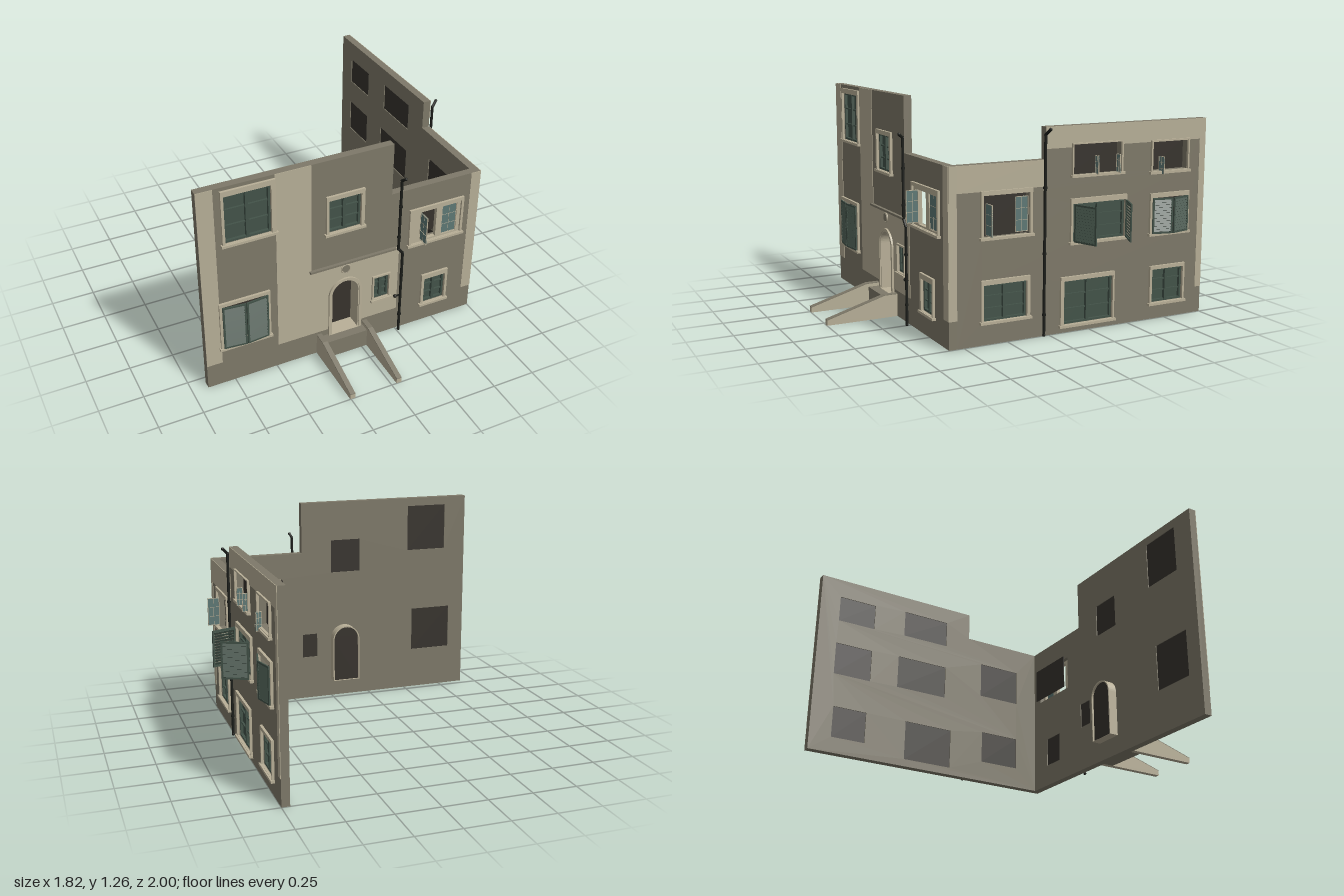
import * as THREE from 'three';

const mat = (name, color) => Object.assign(new THREE.MeshStandardMaterial({ color }), { name });
const plaster = mat('plasterGrey', 0x7e7969);
const stucco = mat('stuccoBeige', 0xb7af97);
const trim = mat('trimBeige', 0xb9b098);
const green = mat('woodGreen', 0x435349);
const dark = mat('interiorDark', 0x37332d);
const glass = mat('glassBlue', 0x5e7875);
const iron = mat('pipeBlack', 0x1c1e1a);

const T = 0.045; // wall thickness

function add(parent, name, geo, m, x = 0, y = 0, z = 0) {
  const mesh = new THREE.Mesh(geo, m);
  mesh.name = name;
  mesh.position.set(x, y, z);
  parent.add(mesh);
  return mesh;
}
// box given by its limits
const block = (p, name, m, x0, x1, y0, y1, z0, z1) =>
  add(p, name, new THREE.BoxGeometry(x1 - x0, y1 - y0, z1 - z0), m, (x0 + x1) / 2, (y0 + y1) / 2, (z0 + z1) / 2);

const poly = (pts) => new THREE.Shape(pts.map(([x, y]) => new THREE.Vector2(x, y)));
const rect = (x0, x1, y0, y1) => poly([[x0, y0], [x1, y0], [x1, y1], [x0, y1]]);
function arch(cx, r, y0, spring) {
  const s = new THREE.Shape();
  s.moveTo(cx - r, y0);
  s.lineTo(cx + r, y0);
  s.lineTo(cx + r, spring);
  s.absarc(cx, spring, r, 0, Math.PI, false);
  s.lineTo(cx - r, y0);
  return s;
}
function slab(p, name, m, shape, holes, z0, z1) {
  shape.holes.push(...holes);
  return add(p, name, new THREE.ExtrudeGeometry(shape, { depth: z1 - z0, bevelEnabled: false, curveSegments: 12 }), m, 0, 0, z0);
}

// casement or louvred leaf swinging out from its hinge; dir is the side it extends to
function leaf(p, kind, hinge, w, y0, y1, width, dir, degrees) {
  const g = new THREE.Group();
  g.name = kind === 'louvre' ? 'louvredShutter' : 'glazedLeaf';
  g.position.set(hinge, 0, w);
  g.rotation.y = -dir * THREE.MathUtils.degToRad(degrees);
  p.add(g);
  const a = Math.min(0, dir * width), b = Math.max(0, dir * width);
  if (kind === 'louvre') {
    const f = 0.01;
    slab(g, 'shutterFrame', green, rect(a, b, y0, y1), [rect(a + f, b - f, y0 + f, y1 - f)], -0.004, 0.004);
    const n = 12, step = (y1 - y0 - 2 * f) / n;
    for (let i = 0; i < n; i++) {
      const slat = add(g, 'slat', new THREE.BoxGeometry(b - a - 2 * f, step * 0.95, 0.003), green, (a + b) / 2, y0 + f + step * (i + 0.5), 0);
      slat.rotation.x = -0.5;
    }
  } else {
    block(g, 'pane', glass, a, b, y0, y1, -0.001, 0.001);
    const f = 0.003;
    slab(g, 'leafFrame', trim, rect(a, b, y0, y1), [rect(a + f, b - f, y0 + f, y1 - f)], -0.003, 0.003);
    for (const t of [1 / 3, 2 / 3]) {
      const y = y0 + (y1 - y0) * t;
      block(g, 'glazingBar', trim, a, b, y - 0.001, y + 0.001, -0.002, 0.002);
    }
    block(g, 'glazingBar', trim, (a + b) / 2 - 0.001, (a + b) / 2 + 0.001, y0, y1, -0.002, 0.002);
  }
}

// window: o = opening limits, f = surround limits, kind = closed | open | shuttered
function addWindow(p, { o, f, kind, back = -0.04 }) {
  const g = new THREE.Group();
  g.name = 'window';
  p.add(g);
  const [x0, x1, y0, y1] = o;
  slab(g, 'surround', trim, rect(...f), [rect(...o)], 0, 0.014);
  block(g, 'sill', trim, f[0] - 0.008, f[1] + 0.008, f[2] - 0.005, f[2] + 0.009, 0, 0.022);
  block(g, 'darkInterior', dark, x0, x1, y0, y1, back, back + 0.003);
  if (kind !== 'closed') return;
  // glazed green sashes with raised bars
  block(g, 'panes', green, x0, x1, y0, y1, -0.024, -0.02);
  const e = 0.011;
  slab(g, 'sash', green, rect(...o), [rect(x0 + e, x1 - e, y0 + e, y1 - e)], -0.02, -0.004);
  const c = (x0 + x1) / 2;
  block(g, 'meetingStile', green, c - 0.008, c + 0.008, y0, y1, -0.02, -0.002);
  for (const t of [1 / 3, 2 / 3]) {
    const y = y0 + (y1 - y0) * t;
    block(g, 'sashBar', green, x0, x1, y - 0.004, y + 0.004, -0.02, -0.009);
  }
}

// drainpipe through a list of points with round joints
function pipe(p, pts, collars) {
  const g = new THREE.Group();
  g.name = 'drainpipe';
  p.add(g);
  const v = pts.map((q) => new THREE.Vector3(...q));
  v.forEach((a, i) => {
    add(g, 'joint', new THREE.SphereGeometry(0.009, 8, 6), iron, a.x, a.y, a.z);
    if (!i) return;
    const d = a.clone().sub(v[i - 1]);
    const m = add(g, 'pipeLength', new THREE.CylinderGeometry(0.008, 0.008, d.length(), 8), iron);
    m.position.copy(a).addScaledVector(d, -0.5);
    m.quaternion.setFromUnitVectors(new THREE.Vector3(0, 1, 0), d.normalize());
  });
  for (const [x, y, z] of collars) add(g, 'collar', new THREE.CylinderGeometry(0.011, 0.011, 0.012, 8), iron, x, y, z);
}

export function createModel() {
  const model = new THREE.Group();
  model.name = 'houseCorner';

  // Both walls are built facing +z, then set in place
  const front = new THREE.Group();
  front.name = 'frontWall';
  front.position.z = 0.585;
  const side = new THREE.Group();
  side.name = 'sideWall';
  side.position.x = 0.75;
  side.rotation.y = Math.PI / 2;
  model.add(front, side);

  const frontWindows = [
    { o: [-0.77, -0.515, 0.92, 1.205], f: [-0.785, -0.49, 0.91, 1.235], kind: 'closed' },
    { o: [-0.81, -0.55, 0.255, 0.53], f: [-0.825, -0.535, 0.245, 0.55], kind: 'shuttered' },
    { o: [-0.19, 0.0, 0.81, 1.015], f: [-0.205, 0.02, 0.8, 1.04], kind: 'closed' },
    { o: [0.095, 0.19, 0.27, 0.42], f: [0.085, 0.2, 0.258, 0.43], kind: 'closed' },
    { o: [0.32, 0.635, 0.58, 0.79], f: [0.305, 0.65, 0.57, 0.81], kind: 'open', back: -0.076 },
    { o: [0.425, 0.565, 0.13, 0.305], f: [0.408, 0.58, 0.12, 0.335], kind: 'closed' },
  ];
  const sideWindows = [
    { o: [-0.395, -0.125, 0.565, 0.785], f: [-0.408, -0.11, 0.56, 0.808], kind: 'open' },
    { o: [0.135, 0.435, 0.85, 1.015], f: [0.127, 0.445, 0.845, 1.022], kind: 'open' },
    { o: [0.64, 0.875, 0.84, 1.0], f: [0.63, 0.885, 0.828, 1.01], kind: 'open' },
    { o: [0.135, 0.465, 0.495, 0.7], f: [0.122, 0.475, 0.485, 0.728], kind: 'closed' },
    { o: [0.645, 0.88, 0.49, 0.69], f: [0.63, 0.893, 0.482, 0.715], kind: 'shuttered' },
    { o: [-0.395, -0.14, 0.125, 0.32], f: [-0.408, -0.122, 0.118, 0.345], kind: 'closed' },
    { o: [0.085, 0.395, 0.045, 0.285], f: [0.065, 0.405, 0.035, 0.308], kind: 'closed' },
    { o: [0.655, 0.865, 0.095, 0.285], f: [0.64, 0.877, 0.085, 0.305], kind: 'closed' },
  ];
  const holes = (list) => list.map((w) => rect(...w.o));
  const dx = -0.083, spring = 0.38; // door axis and arch spring line

  // Wall bodies
  slab(front, 'wallBody', plaster,
    poly([[-0.91, 0], [0.75, 0], [0.75, 0.945], [0.19, 0.945], [0.19, 1.255], [-0.91, 1.255]]),
    [...holes(frontWindows), arch(dx, 0.085, 0.11, spring)], -T, 0);
  slab(side, 'wallBody', plaster,
    poly([[-0.54, 0], [1, 0], [1, 1.115], [-0.03, 1.115], [-0.03, 0.945], [-0.54, 0.945]]),
    holes(sideWindows), -T, 0);

  // Beige stucco fields
  const skin = 0.003;
  for (const r of [[-0.91, -0.82, 0.15, 1.255], [-0.49, -0.29, 0.15, 1.255], [0.69, 0.75, 0.15, 0.945]])
    block(front, 'stuccoField', stucco, ...r, 0, skin);
  const entry = new THREE.Shape();
  entry.moveTo(-0.29, 0.15);
  entry.lineTo(dx - 0.085, 0.15);
  entry.lineTo(dx - 0.085, spring);
  entry.absarc(dx, spring, 0.085, Math.PI, 0, true);
  entry.lineTo(dx + 0.085, 0.15);
  entry.lineTo(0.25, 0.15);
  entry.lineTo(0.25, 0.585);
  entry.lineTo(-0.29, 0.585);
  slab(front, 'entryStucco', stucco, entry, [rect(...frontWindows[3].o)], 0, skin);
  for (const r of [[-0.585, -0.54, 0.15, 0.945], [-0.54, -0.03, 0.805, 0.945], [-0.03, 1, 1.015, 1.115],
    [-0.03, 0.13, 1, 1.015], [0.44, 1, 1, 1.015], [0.96, 1, 0.15, 1]])
    block(side, 'stuccoField', stucco, ...r, 0, skin);

  // Windows
  frontWindows.forEach((w) => addWindow(front, w));
  sideWindows.forEach((w) => addWindow(side, w));

  // Inner frame of the open front window
  slab(front, 'windowFrame', trim, rect(0.32, 0.635, 0.58, 0.79),
    [rect(0.38, 0.48, 0.59, 0.775), rect(0.518, 0.612, 0.59, 0.775)], -0.02, 0.003);

  // Louvred shutters
  leaf(front, 'louvre', -0.81, 0.018, 0.255, 0.53, 0.129, 1, 6);
  leaf(front, 'louvre', -0.55, 0.018, 0.255, 0.53, 0.129, -1, 6);
  leaf(side, 'louvre', 0.14, 0.02, 0.495, 0.7, 0.144, 1, 70);
  leaf(side, 'louvre', 0.465, 0.02, 0.495, 0.7, 0.148, -1, 66);
  leaf(side, 'louvre', 0.643, 0.017, 0.49, 0.69, 0.119, 1, 13);
  leaf(side, 'louvre', 0.882, 0.017, 0.49, 0.69, 0.119, -1, 13);

  // Glazed leaves, closed and swung open
  leaf(front, 'glass', 0.612, -0.004, 0.59, 0.775, 0.094, -1, 0);
  leaf(front, 'glass', 0.38, 0.003, 0.6, 0.775, 0.07, 1, 90);
  leaf(side, 'glass', -0.13, -0.004, 0.58, 0.765, 0.075, -1, 0);
  leaf(side, 'glass', -0.375, 0.0, 0.58, 0.745, 0.07, 1, 90);
  leaf(side, 'glass', 0.275, 0.0, 0.85, 0.95, 0.035, 1, 90);
  leaf(side, 'glass', 0.41, 0.0, 0.85, 0.95, 0.035, 1, 90);
  leaf(side, 'glass', 0.687, 0.0, 0.82, 0.92, 0.037, 1, 68);

  // Arched doorway with a deep reveal
  slab(front, 'doorReveal', trim, arch(dx, 0.087, 0.11, spring), [arch(dx, 0.08, 0.111, spring)], -0.1, 0.008);
  slab(front, 'doorSurround', trim, arch(dx, 0.102, 0.11, spring), [arch(dx, 0.086, 0.111, spring)], 0, 0.014);
  slab(front, 'door', dark, arch(dx, 0.081, 0.111, spring), [], -0.088, -0.08);

  // Round ornament and ledge over the door
  const disc = add(front, 'ornamentDisc', new THREE.CylinderGeometry(0.022, 0.022, 0.012, 20), plaster, dx, 0.545, 0.006);
  disc.rotation.x = Math.PI / 2;
  add(front, 'ornamentRing', new THREE.TorusGeometry(0.026, 0.005, 6, 20), trim, dx, 0.545, 0.006);
  block(front, 'ledge', plaster, -0.3, 0.225, 0.58, 0.592, 0, 0.018);

  // Landing and sloping side walls of the entrance
  block(front, 'landing', plaster, -0.225, 0.03, 0, 0.11, 0, 0.065);
  for (const x of [-0.255, 0.03]) {
    const ramp = slab(model, 'rampWall', stucco, poly([[0.585, 0], [1, 0], [1, 0.029], [0.66, 0.128], [0.585, 0.128]]), [], 0, 0.03);
    ramp.rotation.y = -Math.PI / 2;
    ramp.position.x = x + 0.03;
    const cap = slab(model, 'rampCoping', plaster, poly([[1, 0.029], [1, 0.033], [0.66, 0.132], [0.585, 0.132], [0.585, 0.128], [0.66, 0.128]]), [], 0, 0.03);
    cap.rotation.y = -Math.PI / 2;
    cap.position.x = x + 0.03;
  }

  // Drainpipes
  pipe(front, [[0.26, 0.008, 0.026], [0.26, 0.555, 0.026], [0.232, 0.59, 0.026], [0.232, 1.035, 0.026], [0.24, 1.055, 0.05]],
    [[0.26, 0.12, 0.026], [0.26, 0.4, 0.026], [0.232, 0.67, 0.026], [0.232, 0.87, 0.026]]);
  add(front, 'pipeBracket', new THREE.SphereGeometry(0.011, 8, 6), iron, 0.23, 0.255, 0.02);
  block(front, 'pipeBracketArm', iron, 0.23, 0.26, 0.252, 0.258, 0.015, 0.025);
  pipe(side, [[-0.037, 0.008, 0.011], [-0.037, 1.075, 0.011], [-0.025, 1.105, 0.04]],
    [[-0.037, 0.12, 0.011], [-0.037, 0.45, 0.011], [-0.037, 0.8, 0.011]]);

  return model;
}
